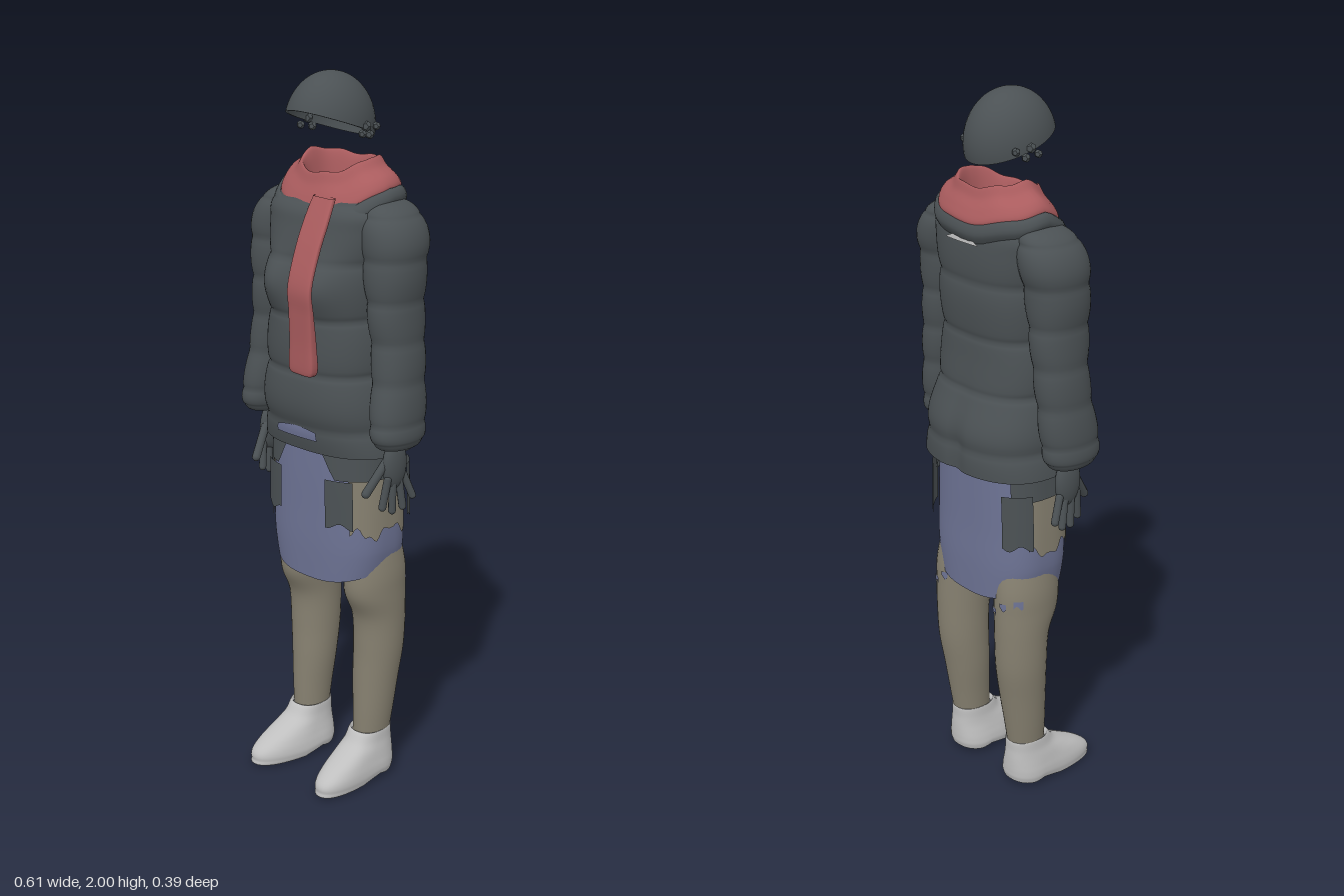
import * as THREE from 'three';

const paint = (name, color, side = THREE.DoubleSide) => {
  const m = new THREE.MeshStandardMaterial({ color, side });
  m.name = name;
  return m;
};

// Uniform Catmull-Rom through a list of sections; t is measured in section indices
function sectionAt(secs, t) {
  const n = secs.length - 1, i = Math.max(0, Math.min(n - 1, Math.floor(t))), f = t - i;
  const at = k => secs[Math.max(0, Math.min(n, k))];
  const [p, q, r, s] = [at(i - 1), at(i), at(i + 1), at(i + 2)];
  return q.map((_, k) => q[k] + 0.5 * f * (r[k] - p[k] + f * (2 * p[k] - 5 * q[k] + 4 * r[k] - s[k]
    + f * (3 * (q[k] - r[k]) + s[k] - p[k]))));
}

// Section = [y, centre x, centre z, half width, front depth, back depth]; angle 0 faces +z
function surface(secs, e = 2, warp) {
  return (t, a, off = 0) => {
    const [y, cx, cz, rx, rf, rb] = sectionAt(secs, t);
    const s = Math.sin(a), c = Math.cos(a), p = 2 / e;
    const grow = r => (r > 0.002 ? r + off : 0);
    const x = Math.sign(s) * Math.abs(s) ** p * grow(rx);
    const z = Math.sign(c) * Math.abs(c) ** p * grow(c > 0 ? rf : rb);
    const v = new THREE.Vector3(x, y, z);
    if (warp) warp(v, a, t);
    v.x += cx;
    v.z += cz;
    return v;
  };
}

// Mesh over f(t, a): a closed loft, or a patch when an angle range is given
function skin(name, mat, f, t0, t1, rows, cols, a0 = 0, a1 = Math.PI * 2, off = 0) {
  const closed = a1 - a0 > 6.28, w = closed ? cols : cols + 1, pos = [], idx = [];
  const val = (t, a) => (typeof t === 'function' ? t(a) : t);
  for (let i = 0; i <= rows; i++) for (let j = 0; j < w; j++) {
    const a = a0 + (a1 - a0) * j / cols, lo = val(t0, a), hi = val(t1, a);
    pos.push(...f(lo + (hi - lo) * i / rows, a, off).toArray());
  }
  for (let i = 0; i < rows; i++) for (let j = 0; j < cols; j++) {
    const k = (j + 1) % w, A = i * w + j, B = i * w + k, C = A + w, D = B + w;
    idx.push(A, B, C, B, D, C);
  }
  const g = new THREE.BufferGeometry();
  g.setAttribute('position', new THREE.Float32BufferAttribute(pos, 3));
  g.setIndex(idx);
  g.computeVertexNormals();
  const m = new THREE.Mesh(g, mat);
  m.name = name;
  return m;
}

export function createModel() {
  const root = new THREE.Group();
  root.name = 'winterOutfit';
  const dark = paint('charcoal', 0x4b5154), red = paint('scarfRed', 0xaa5c5e), blue = paint('skirtBlue', 0x6d7394);
  const tan = paint('stockingTan', 0x868070), grey = paint('shoeGrey', 0xbfbfbf);
  const rad = d => d * Math.PI / 180;
  const add = (...a) => { const m = skin(...a); root.add(m); return m; };
  const puff = (y, seam, step, amount) => 1 + amount * (Math.sqrt(Math.abs(Math.sin(Math.PI * (y - seam) / step))) - 0.7);

  // Quilted jacket body with padded rings, bust and a dent down the back
  const body = surface([
    [1.00, 0, -0.03, 0.215, 0.145, 0.165], [1.10, 0, -0.03, 0.205, 0.17, 0.168], [1.20, 0, -0.02, 0.19, 0.162, 0.148],
    [1.30, 0, -0.02, 0.18, 0.16, 0.13], [1.40, 0, -0.02, 0.175, 0.158, 0.132], [1.50, 0, -0.02, 0.18, 0.15, 0.138],
    [1.60, 0, -0.02, 0.188, 0.13, 0.137], [1.65, 0, -0.025, 0.195, 0.125, 0.13], [1.69, 0, -0.035, 0.17, 0.105, 0.115],
    [1.70, 0, -0.035, 0.14, 0.085, 0.095], [1.66, 0, -0.035, 0.1, 0.065, 0.07], [1.62, 0, -0.035, 0.001, 0.001, 0.001],
  ], 2.5, (v, a, t) => {
    if (t < 8) {
      const k = puff(v.y, 1.07, 0.15, 0.07);
      v.x *= k;
      v.z *= k;
    }
    const gauss = (dx, dy) => Math.exp(-dx * dx - dy * dy);
    if (v.z > 0 && t < 8) v.z += 0.03 * gauss((Math.abs(v.x) - 0.085) / 0.06, (v.y - 1.46) / 0.07);
    if (v.z < 0 && t < 8) v.z += 0.014 * gauss(v.x / 0.025, (v.y - 1.05) / 0.12);
  });
  add('jacketBody', dark, body, 0, 11, 110, 72);
  add('jacketHemGap', blue, body, 0.45, a => 0.62 + 0.1 * Math.cos(a * 5), 3, 12, rad(-17), rad(14), 0.004);
  add('backTag', grey, body, 6.45, a => 6.5 + 0.5 * Math.max(0, 1 - Math.abs(a - Math.PI) / rad(13)), 3, 14, rad(167), rad(193), 0.005);

  // Collar and wrapped scarf
  const droop = (v, a) => { v.y -= 1.8 * v.z * v.z + 0.3 * Math.max(0, v.z) - 0.003 * Math.sin(a * 7); };
  add('collar', dark, surface([
    [1.66, 0, -0.035, 0.18, 0.13, 0.125], [1.69, 0, -0.035, 0.195, 0.145, 0.136], [1.715, 0, -0.035, 0.18, 0.13, 0.125],
    [1.70, 0, -0.035, 0.14, 0.1, 0.1],
  ], 2.2, droop), 0, 3, 12, 48);
  add('scarfWrap', red, surface([
    [1.69, 0, -0.035, 0.16, 0.11, 0.115], [1.715, 0, -0.035, 0.176, 0.125, 0.13], [1.74, 0, -0.035, 0.163, 0.115, 0.12],
    [1.762, 0, -0.035, 0.13, 0.1, 0.105], [1.785, 0, -0.035, 0.108, 0.09, 0.096], [1.76, 0, -0.035, 0.097, 0.08, 0.085],
    [1.70, 0, -0.035, 0.09, 0.07, 0.075],
  ], 2.2, droop), 0, 6, 36, 60);
  add('scarfTail', red, surface([
    [1.24, 0.06, 0.168, 0.001, 0.001, 0.001], [1.24, 0.06, 0.168, 0.046, 0.014, 0.02], [1.32, 0.062, 0.17, 0.046, 0.014, 0.018],
    [1.40, 0.064, 0.178, 0.045, 0.01, 0.014], [1.47, 0.065, 0.183, 0.045, 0.008, 0.01], [1.56, 0.062, 0.152, 0.045, 0.008, 0.012],
    [1.63, 0.06, 0.118, 0.045, 0.008, 0.012], [1.69, 0.058, 0.085, 0.04, 0.008, 0.012],
  ], 4, v => { v.z += 0.1 * v.x; }), 0, 7, 42, 32);

  // Skirt with worn patches and pockets laid over it
  const skirt = surface([
    [0.62, 0, -0.03, 0.18, 0.128, 0.13], [0.72, 0, -0.03, 0.194, 0.132, 0.132], [0.82, 0, -0.03, 0.194, 0.132, 0.13],
    [0.92, 0, -0.03, 0.19, 0.132, 0.13], [1.02, 0, -0.03, 0.185, 0.13, 0.13],
  ], 2.6, (v, a, t) => { v.y += 0.03 * Math.sin(a) ** 2 * Math.max(0, 1 - t); });
  add('skirt', blue, skirt, 0, 4, 24, 64);
  for (const s of [1, -1]) {
    const side = s > 0 ? 'left' : 'right';
    const over = (name, mat, t0, t1, a0, a1, off) => add(side + name, mat, skirt, t0, t1, 6, 24,
      ...(s > 0 ? [rad(a0), rad(a1)] : [rad(-a1), rad(-a0)]), off);
    const ragged = a => 1.55 + 0.15 * Math.sin(a * 9) + 0.08 * Math.sin(a * 23);
    over('SkirtWornPatch', tan, ragged, 3.4, 42, 112, 0.004);
    over('SkirtUpperLayer', dark, a => 3.1 + 0.75 * Math.max(0, 1 - (Math.abs(a) - rad(12)) / rad(14)), 4, 12, 132, 0.008);
    over('FrontPocket', dark, a => 1.8 + 0.08 * Math.sin(a * 14), 3.1, 18, 46, 0.014);
    over('BackPocket', dark, a => 1.8 + 0.08 * Math.sin(a * 14), 3.3, 108, 142, 0.018);

    // Quilted sleeve
    const sleeve = surface([
      [1.06, 0.245, 0, 0.001, 0.001, 0.001], [1.04, 0.248, 0, 0.036, 0.055, 0.055], [1.06, 0.248, 0, 0.052, 0.08, 0.08],
      [1.10, 0.245, 0, 0.058, 0.088, 0.09], [1.20, 0.236, -0.01, 0.058, 0.08, 0.085], [1.30, 0.226, -0.02, 0.06, 0.08, 0.08],
      [1.40, 0.217, -0.02, 0.063, 0.085, 0.085], [1.50, 0.211, -0.02, 0.073, 0.088, 0.09], [1.58, 0.205, -0.025, 0.078, 0.092, 0.098],
      [1.64, 0.188, -0.03, 0.072, 0.085, 0.09], [1.675, 0.17, -0.035, 0.045, 0.055, 0.06], [1.685, 0.16, -0.035, 0.001, 0.001, 0.001],
    ].map(r => [r[0], s * r[1], ...r.slice(2)]), 2.1, (v, a, t) => {
      const k = t > 2 ? puff(v.y, 1.105, 0.108, 0.1) : 1;
      v.x *= k;
      v.z *= k;
    });
    add(side + 'Sleeve', dark, sleeve, 0, 11, 100, 36);

    // Hand: palm and spread fingers
    const hand = new THREE.Group();
    hand.name = side + 'Hand';
    const palm = new THREE.Mesh(new THREE.SphereGeometry(1, 20, 14), dark);
    palm.name = 'palm';
    palm.scale.set(0.022, 0.07, 0.042);
    palm.position.set(s * 0.236, 0.985, 0);
    hand.add(palm);
    const finger = (x0, y0, z0, x1, y1, z1, r) => {
      const p = new THREE.Vector3(s * x0, y0, z0), q = new THREE.Vector3(s * x1, y1, z1), d = q.clone().sub(p);
      const m = new THREE.Mesh(new THREE.CapsuleGeometry(r, d.length(), 4, 10), dark);
      m.name = 'finger';
      m.position.copy(p).add(q).multiplyScalar(0.5);
      m.quaternion.setFromUnitVectors(new THREE.Vector3(0, 1, 0), d.normalize());
      hand.add(m);
    };
    finger(0.232, 1.0, 0.025, 0.212, 0.915, 0.085, 0.012);
    [0.03, 0.01, -0.012, -0.032].forEach((z, i) =>
      finger(0.24, 0.95, z, 0.232 + 0.006 * i, [0.87, 0.855, 0.86, 0.885][i], z * 1.6 - 0.006, 0.0105));
    root.add(hand);

    // Leg, with small cloth scraps behind the knee
    const leg = surface([
      [0.11, 0.12, -0.04, 0.045, 0.055, 0.055], [0.20, 0.122, -0.047, 0.053, 0.062, 0.062], [0.30, 0.122, -0.055, 0.062, 0.068, 0.07],
      [0.40, 0.125, -0.063, 0.068, 0.074, 0.078], [0.50, 0.126, -0.062, 0.07, 0.079, 0.084], [0.58, 0.125, -0.05, 0.073, 0.102, 0.097],
      [0.66, 0.122, -0.045, 0.074, 0.1, 0.1], [0.80, 0.095, -0.035, 0.08, 0.09, 0.09],
    ].map(r => [r[0], s * r[1], ...r.slice(2)]));
    add(side + 'Leg', tan, leg, 0, 7, 42, 32);
    [[5.0, 150, 172], [5.35, 185, 200], [5.5, 215, 232]].forEach(([t, a0, a1]) =>
      add(side + 'KneeScrap', blue, leg, a => t + 0.08 * Math.sin(a * 20), t + 0.25, 2, 8, rad(a0), rad(a1), 0.003));

    // Shoe with an arched sole and raised heel
    const shoe = surface([
      [0.004, 0.117, -0.02, 0.001, 0.001, 0.001], [0.004, 0.117, -0.02, 0.056, 0.185, 0.07], [0.022, 0.117, -0.02, 0.067, 0.203, 0.083],
      [0.045, 0.118, -0.02, 0.067, 0.198, 0.085], [0.07, 0.119, -0.02, 0.063, 0.165, 0.085], [0.095, 0.12, -0.02, 0.058, 0.115, 0.084],
      [0.12, 0.12, -0.03, 0.053, 0.08, 0.072], [0.15, 0.12, -0.035, 0.05, 0.06, 0.066], [0.14, 0.12, -0.035, 0.044, 0.05, 0.055],
    ].map(r => [r[0], s * r[1], ...r.slice(2)]), 2.3, (v, a, t) => {
      if (t < 4) v.y += (1 - t / 4) * (0.02 * Math.exp(-((v.z - 0.01) ** 2) / 0.0009) + 0.2 * Math.max(0, -v.z));
      v.x += s * 0.1 * Math.max(0, v.z - 0.05);
    });
    add(side + 'Shoe', grey, shoe, 0, 8, 40, 44);

    // Strap fittings beside the helmet
    [[0.106, 1.865, -0.02, 0.014], [0.112, 1.848, 0.0, 0.011], [0.104, 1.842, -0.035, 0.012], [0.1, 1.86, -0.065, 0.011]].forEach(([x, y, z, r]) => {
      const m = new THREE.Mesh(new THREE.DodecahedronGeometry(r), dark);
      m.name = side + 'HelmetFitting';
      m.position.set(s * x, y, z);
      root.add(m);
    });
  }

  // Open helmet dome cut along a tilted rim
  const dome = (t, a, off) => {
    const th = Math.acos(0.03 + 0.31 * Math.cos(a)) * (1 - t), r = Math.sin(th);
    return new THREE.Vector3((0.109 + off) * r * Math.sin(a), 1.86 + (0.14 + off) * Math.cos(th), 0.004 + (0.129 + off) * r * Math.cos(a));
  };
  add('helmet', dark, dome, 0, 1, 24, 48);
  add('helmetLining', dark, dome, 0, 0.97, 16, 48, 0, Math.PI * 2, -0.006);
  return root;
}
